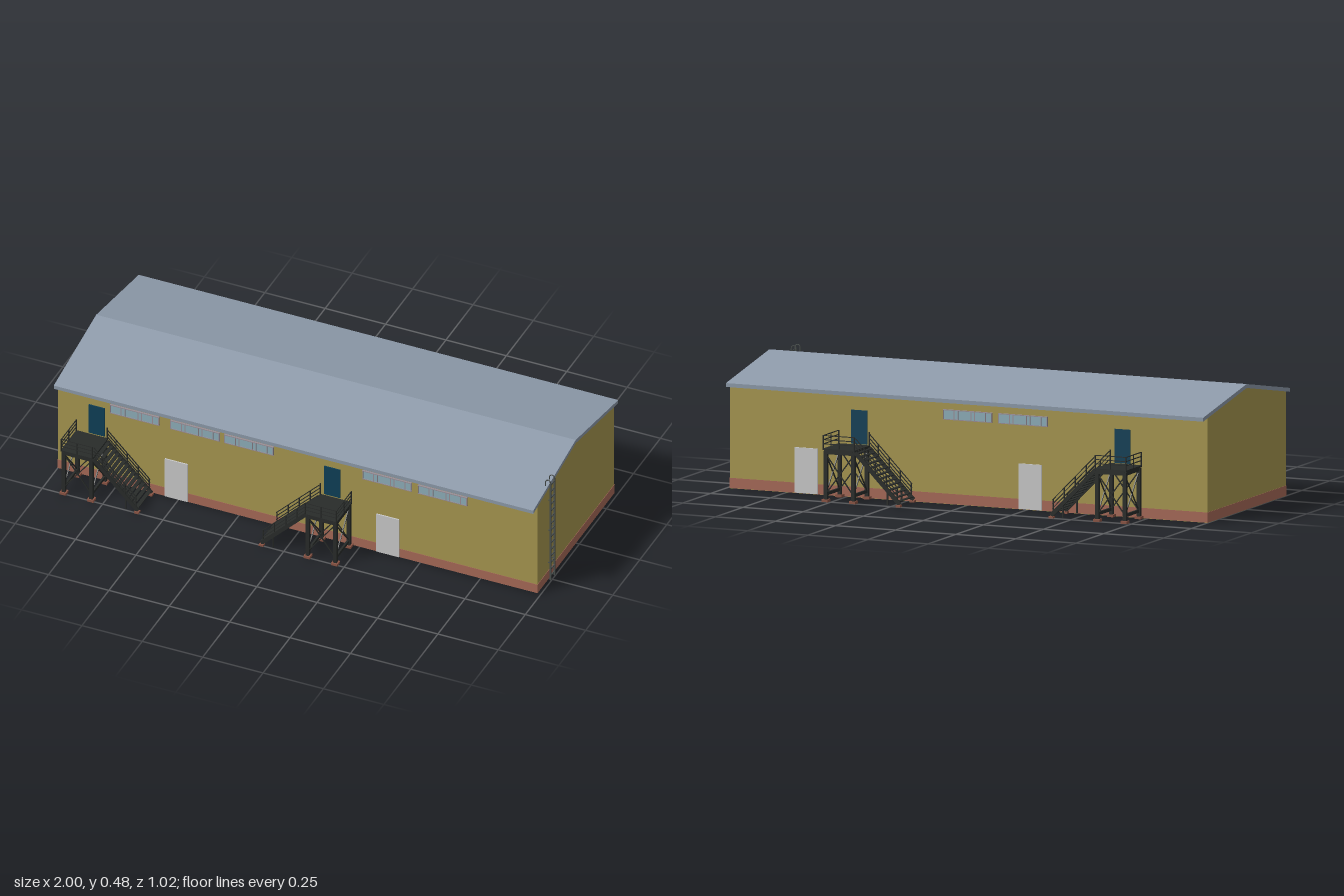
import * as THREE from 'three';

const mat = (color, extra = {}) => new THREE.MeshStandardMaterial({ color, ...extra });
const WALL = mat(0xa89850), PLINTH = mat(0xa86a58), ROOF = mat(0x8e9bab), STEEL = mat(0x292c2a);
const BLUE = mat(0x0f4058), GREY = mat(0xcccccc), GLASS = mat(0x8fb0bb), FRAME = mat(0x9a8f98), FOOT = mat(0x8c5545);
const LADDER = mat(0x4a504e);

const X0 = -1, X1 = 0.985, CX = (X0 + X1) / 2, LEN = X1 - X0, WZ = 0.355, EZ = 0.393;

function box(parent, name, material, size, pos) {
  const m = new THREE.Mesh(new THREE.BoxGeometry(...size), material);
  m.name = name;
  m.position.set(...pos);
  parent.add(m);
  return m;
}

// Rectangular bar between two points
function beam(parent, name, material, a, b, w, h = w) {
  const p = new THREE.Vector3(...a), q = new THREE.Vector3(...b);
  const m = box(parent, name, material, [w, h, p.distanceTo(q)], p.clone().add(q).multiplyScalar(0.5).toArray());
  const d = q.clone().sub(p).normalize();
  if (Math.abs(d.y) > 0.999) m.rotation.x = Math.PI / 2;
  else m.lookAt(q);
  return m;
}

// Extrude a (z, y) outline along the length of the hall
function alongHall(parent, name, material, pts) {
  const shape = new THREE.Shape(pts.map(([z, y]) => new THREE.Vector2(-z, y)));
  const geo = new THREE.ExtrudeGeometry(shape, { depth: LEN, bevelEnabled: false });
  geo.rotateY(Math.PI / 2).translate(X0, 0, 0);
  const m = new THREE.Mesh(geo, material);
  m.name = name;
  parent.add(m);
}

// Steel landing with stairs; local z = 0 is the wall, stairs go down towards dir * x
function stairTower(dir) {
  const g = new THREE.Group();
  g.name = 'stairTower';
  const P = (x, y, z) => [x * dir, y, z];
  const bar = (name, a, b, w, h) => beam(g, name, STEEL, P(...a), P(...b), w, h);
  const lx = 0.057, z0 = 0.015, z1 = 0.14, top = 0.204;

  // legs on foot plates
  for (const x of [-lx, lx]) for (const z of [z0, z1]) {
    bar('leg', [x, 0.008, z], [x, 0.195, z], 0.014);
    box(g, 'footPlate', FOOT, [0.026, 0.01, 0.026], P(x, 0.005, z));
  }
  // deck, edge beams and cross bracing
  box(g, 'deck', STEEL, [0.132, 0.006, 0.143], P(0, top - 0.003, 0.0785));
  for (const z of [z0, z1]) {
    bar('edgeBeam', [-lx, 0.191, z], [lx, 0.191, z], 0.012, 0.016);
    bar('brace', [-lx, 0.03, z], [lx, 0.182, z], 0.004);
    bar('brace', [-lx, 0.182, z], [lx, 0.03, z], 0.004);
  }
  for (const x of [-lx, lx]) {
    bar('edgeBeam', [x, 0.191, z0], [x, 0.191, z1], 0.012, 0.016);
    bar('lowerBeam', [x, 0.03, z0], [x, 0.03, z1], 0.008, 0.012);
    bar('brace', [x, 0.03, z0], [x, 0.182, z1], 0.004);
    bar('brace', [x, 0.182, z0], [x, 0.03, z1], 0.004);
  }
  // landing railing on the outer side and the closed end
  const rx = 0.064, rz = 0.148;
  for (const y of [0.222, 0.238, 0.254]) {
    bar('landingRail', [-rx, y, rz], [rx, y, rz], 0.003);
    bar('landingRail', [-rx, y, 0.01], [-rx, y, rz], 0.003);
  }
  for (const [x, z] of [[-rx, 0.01], [-rx, 0.079], [-rx, rz], [0, rz], [rx, rz], [rx, 0.01]])
    bar('landingPost', [x, 0.2, z], [x, 0.255, z], 0.004);

  // stair flight
  const sx = 0.066, ex = 0.25, sy = 0.196, ey = 0.01;
  const at = (t) => [sx + (ex - sx) * t, sy + (ey - sy) * t];
  for (const z of [0.016, 0.142]) {
    bar('stringer', [sx, sy, z], [ex, ey, z], 0.006, 0.016);
    for (const h of [0.022, 0.038, 0.054])
      bar('stairRail', [sx, sy + h, z], [ex - 0.006, ey + h + 0.006, z], 0.003);
    for (const t of [0.2, 0.45, 0.7, 0.95]) {
      const [x, y] = at(t);
      bar('stairPost', [x, y, z], [x, y + 0.054, z], 0.004);
    }
    bar('stairSupport', [0.2, 0.005, z], [0.2, 0.056, z], 0.005);
    box(g, 'stairFoot', FOOT, [0.018, 0.008, 0.018], P(ex - 0.003, 0.004, z));
  }
  for (let i = 0; i < 14; i++) {
    const [x, y] = at((i + 0.5) / 14);
    box(g, 'tread', STEEL, [0.015, 0.003, 0.122], P(x, y + 0.004, 0.079));
  }
  // door onto the landing
  box(g, 'upperDoor', BLUE, [0.066, 0.13, 0.006], P(0.0175, 0.27, 0.001));
  return g;
}

// Ribbon window with uneven mullions
function ribbonWindow() {
  const g = new THREE.Group();
  g.name = 'ribbonWindow';
  const w = 0.2, h = 0.036;
  box(g, 'glass', GLASS, [w, h, 0.008], [0, 0, 0.001]);
  for (const s of [-1, 1]) {
    box(g, 'windowFrame', FRAME, [w + 0.004, 0.003, 0.011], [0, s * h / 2, 0.002]);
    box(g, 'windowFrame', FRAME, [0.003, h, 0.011], [s * w / 2, 0, 0.002]);
  }
  for (const x of [-0.055, -0.04, 0.015, 0.03, 0.075])
    box(g, 'mullion', FRAME, [0.003, h, 0.011], [x, 0, 0.002]);
  return g;
}

export function createModel() {
  const model = new THREE.Group();
  model.name = 'industrialHall';

  // hall body, plinth band and gable roof
  alongHall(model, 'walls', WALL, [[WZ, 0], [-WZ, 0], [-WZ, 0.4], [0, 0.465], [WZ, 0.4]]);
  box(model, 'plinth', PLINTH, [LEN + 0.003, 0.039, 2 * WZ + 0.003], [CX, 0.0205, 0]);
  alongHall(model, 'roof', ROOF, [[EZ, 0.393], [0, 0.465], [-EZ, 0.393], [-EZ, 0.408], [0, 0.48], [EZ, 0.408]]);

  // one long side: [stair centre, stair direction], ground doors and windows, in side-local x
  const sides = [
    { name: 'frontSide', turn: 0, stairs: [[-0.855, 1], [0.155, -1]], doors: [-0.508, 0.367],
      windows: [-0.68, -0.43, -0.207, 0.365, 0.595] },
    { name: 'backSide', turn: Math.PI, stairs: [[-0.465, 1], [0.665, -1]], doors: [-0.667, 0.265],
      windows: [0.005, 0.235] },
  ];
  for (const s of sides) {
    const side = new THREE.Group();
    side.name = s.name;
    side.rotation.y = s.turn;
    for (const [x, dir] of s.stairs) {
      const t = stairTower(dir);
      t.position.set(x, 0, WZ);
      side.add(t);
    }
    for (const x of s.doors) box(side, 'groundDoor', GREY, [0.095, 0.174, 0.008], [x, 0.089, WZ + 0.001]);
    for (const x of s.windows) {
      const w = ribbonWindow();
      w.position.set(x, 0.343, WZ);
      side.add(w);
    }
    model.add(side);
  }

  // roof ladder on the gable end, hooked over the roof edge
  const ladder = new THREE.Group();
  ladder.name = 'ladder';
  const lx = 0.996;
  for (const z of [0.221, 0.257]) {
    beam(ladder, 'ladderRail', LADDER, [lx, 0, z], [lx, 0.45, z], 0.005);
    const hook = new THREE.CatmullRomCurve3([[lx, 0.448], [lx - 0.004, 0.459], [0.983, 0.461], [0.976, 0.455], [0.975, 0.43]]
      .map(([x, y]) => new THREE.Vector3(x, y, z)));
    const m = new THREE.Mesh(new THREE.TubeGeometry(hook, 12, 0.0022, 6), LADDER);
    m.name = 'ladderHook';
    ladder.add(m);
  }
  for (let i = 0; i < 15; i++)
    beam(ladder, 'rung', LADDER, [lx, 0.02 + i * 0.03, 0.221], [lx, 0.02 + i * 0.03, 0.257], 0.004);
  for (const y of [0.08, 0.23, 0.37]) for (const z of [0.221, 0.257])
    beam(ladder, 'wallBracket', LADDER, [0.984, y, z], [lx, y, z], 0.003);
  model.add(ladder);

  return model;
}
